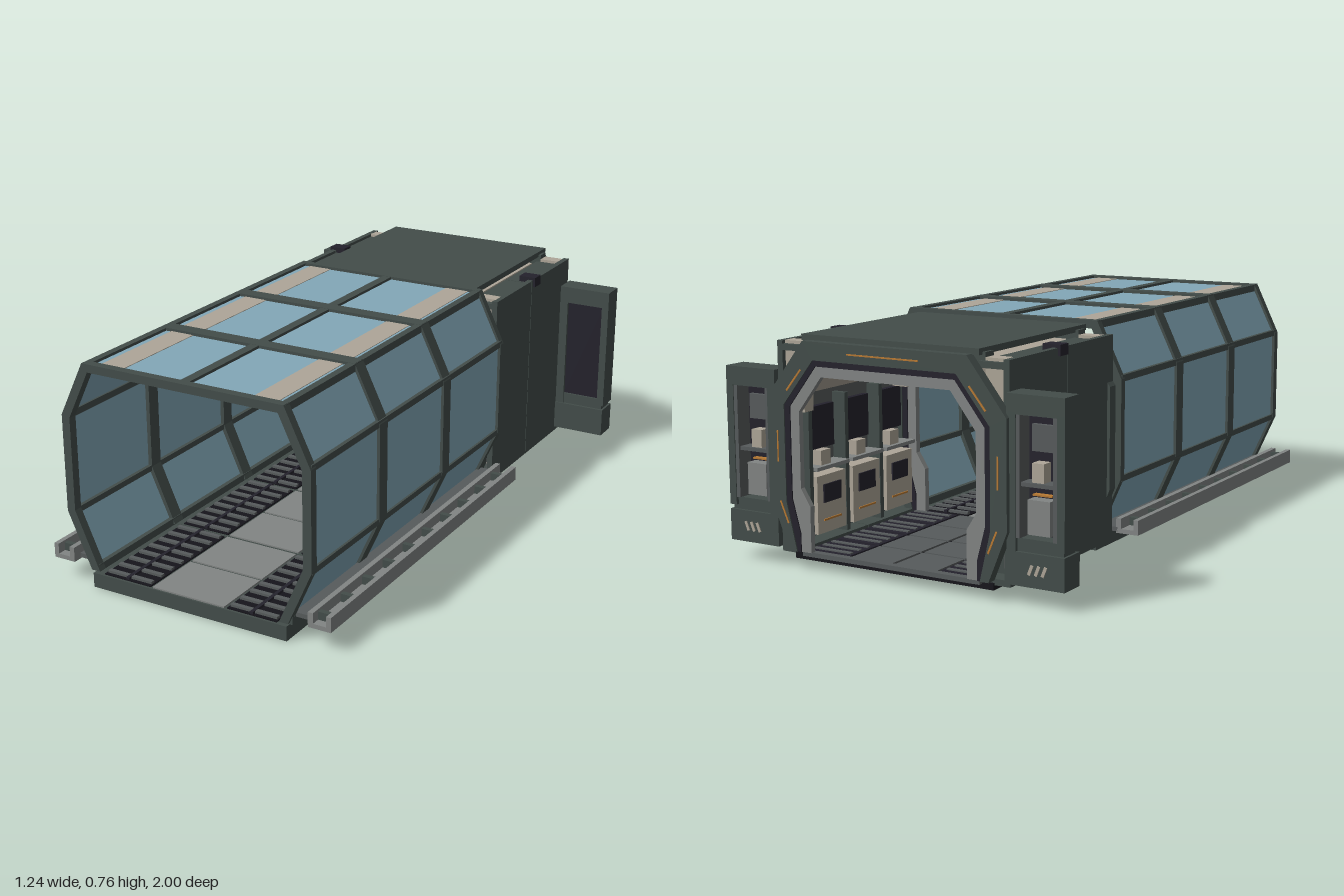
import * as THREE from 'three';

const mat = (name, color) => Object.assign(new THREE.MeshStandardMaterial({ color }), { name });

export function createModel() {
  const root = new THREE.Group();
  root.name = 'airlockTunnel';
  const M = {
    frame: mat('darkGreenMetal', 0x434d4a),
    glass: mat('blueGlass', 0x83a8b8),
    beige: mat('beigePanel', 0xaea698),
    navy: mat('darkNavy', 0x24222c),
    grey: mat('midGrey', 0x828584),
    slate: mat('slateGrey', 0x575b5c),
    black: mat('nearBlack', 0x16151b),
    orange: mat('orangeLine', 0xb87a34),
  };

  const add = (name, geo, m) => {
    const mesh = new THREE.Mesh(geo, m);
    mesh.name = name;
    root.add(mesh);
    return mesh;
  };
  // Box given by its limits
  const box = (name, m, x0, x1, y0, y1, z0, z1) =>
    add(name, new THREE.BoxGeometry(x1 - x0, y1 - y0, z1 - z0), m)
      .position.set((x0 + x1) / 2, (y0 + y1) / 2, (z0 + z1) / 2);
  // The same box on both sides of x = 0
  const pair = (name, m, x0, x1, ...r) => {
    box(name + 'Left', m, x0, x1, ...r);
    box(name + 'Right', m, -x1, -x0, ...r);
  };
  // Flat slab between two cross-section points, running along z
  const slab = (name, m, [ax, ay], [bx, by], t, z0, z1) => {
    const mesh = add(name, new THREE.BoxGeometry(Math.hypot(bx - ax, by - ay), t, z1 - z0), m);
    mesh.position.set((ax + bx) / 2, (ay + by) / 2, (z0 + z1) / 2);
    mesh.rotation.z = Math.atan2(by - ay, bx - ax);
  };
  const slabPair = (name, m, a, b, ...r) => {
    slab(name + 'Left', m, a, b, ...r);
    slab(name + 'Right', m, [-a[0], a[1]], [-b[0], b[1]], ...r);
  };
  // Arch between an outer and an inner half profile, listed bottom to top
  const arch = (name, m, outer, inner, z0, z1) => {
    const flip = (p) => p.map(([x, y]) => [-x, y]);
    const pts = [...outer, ...flip(outer).reverse(), ...flip(inner), ...[...inner].reverse()];
    const shape = new THREE.Shape(pts.map(([x, y]) => new THREE.Vector2(x, y)));
    add(name, new THREE.ExtrudeGeometry(shape, { depth: z1 - z0, bevelEnabled: false }), m).position.z = z0;
  };

  // Glass tunnel ribs
  const outer = [[0.37, 0.06], [0.455, 0.25], [0.455, 0.58], [0.365, 0.765]];
  const inner = [[0.338, 0.06], [0.425, 0.256], [0.425, 0.573], [0.345, 0.738]];
  const ribs = [[0.97, 1], [0.535, 0.585], [0.095, 0.145], [-0.32, -0.295]];
  ribs.forEach(([a, b]) => arch('tunnelRib', M.frame, outer, inner, a, b));

  // Lengthwise tunnel beams
  pair('roofBeam', M.frame, 0.343, 0.367, 0.738, 0.764, -0.31, 0.99);
  pair('shoulderBeam', M.frame, 0.426, 0.453, 0.57, 0.592, -0.31, 0.99);
  pair('waistBeam', M.frame, 0.426, 0.453, 0.24, 0.26, -0.31, 0.99);
  pair('footBeam', M.frame, 0.345, 0.38, 0.055, 0.08, -0.31, 0.99);
  box('ridgeBeam', M.frame, -0.016, 0.016, 0.738, 0.764, -0.31, 0.99);

  // Glazing and roof strips in each bay
  const g = [[0.358, 0.065], [0.442, 0.25], [0.442, 0.58], [0.357, 0.752]];
  for (let i = 0; i < 3; i++) {
    const z0 = ribs[i + 1][1], z1 = ribs[i][0];
    for (let k = 0; k < 3; k++) slabPair('sideGlass', M.glass, g[k], g[k + 1], 0.006, z0, z1);
    slabPair('roofGlass', M.glass, [0.01, 0.752], [0.35, 0.752], 0.006, z0, z1);
    pair('roofStrip', M.beige, 0.237, 0.322, 0.748, 0.757, z0, z1);
  }

  // Tunnel floor: slabs, grey walkway, ribbed gratings
  [[0.563, 1], [0.123, 0.559], [-0.32, 0.119]].forEach(([a, b]) => {
    box('baseSlab', M.frame, -0.365, 0.365, 0, 0.05, a, b);
    const half = (a + b) / 2;
    [[a, half], [half, b]].forEach(([c, d]) =>
      box('walkwayPanel', M.grey, -0.135, 0.135, 0.05, 0.055, c + 0.006, d - 0.006));
    pair('gratingBed', M.black, 0.145, 0.325, 0.05, 0.054, a + 0.008, b - 0.008);
    for (let k = 0; k < 8; k++) {
      const z = a + ((k + 0.5) * (b - a)) / 8;
      pair('gratingBar', M.slate, 0.15, 0.32, 0.054, 0.062, z - 0.008, z + 0.008);
    }
    pair('gratingSpine', M.navy, 0.228, 0.24, 0.054, 0.063, a + 0.008, b - 0.008);
  });

  // Ladder rails beside the tunnel
  pair('outerRail', M.grey, 0.503, 0.52, 0.07, 0.12, -0.32, 1);
  pair('innerRail', M.grey, 0.44, 0.458, 0.07, 0.12, -0.32, 1);
  pair('railBed', M.grey, 0.455, 0.506, 0.07, 0.085, -0.32, 1);
  pair('railBracket', M.slate, 0.375, 0.445, 0.075, 0.09, -0.32, 0.97);
  for (let k = 0; k < 10; k++) {
    const z = -0.25 + k * 0.1345;
    pair('railRung', M.frame, 0.456, 0.505, 0.085, 0.112, z - 0.009, z + 0.009);
  }

  // Cabin shell
  box('cabinRoof', M.frame, -0.325, 0.325, 0.732, 0.752, -0.97, -0.32);
  box('cabinBase', M.black, -0.37, 0.37, 0.03, 0.052, -0.97, -0.32);
  [[-0.618, -0.322], [-0.965, -0.622]].forEach(([a, b]) => {
    pair('cabinWall', M.frame, 0.405, 0.425, 0.045, 0.725, a, b);
    pair('cabinShoulder', M.frame, 0.32, 0.406, 0.695, 0.715, a, b);
    pair('sill', M.frame, 0.34, 0.406, 0.045, 0.065, a, b);
  });
  pair('wallClamp', M.navy, 0.37, 0.433, 0.7, 0.735, -0.68, -0.63);
  [[-0.39, -0.345], [-0.95, -0.905]].forEach(([a, b]) => {
    pair('cornerBlock', M.beige, 0.335, 0.408, 0.5, 0.725, a, b);
    pair('roofSupport', M.frame, 0.29, 0.335, 0.7, 0.74, a, b);
  });

  // Cabin ceiling, lining and floor panels
  box('ceiling', M.beige, -0.3, 0.3, 0.695, 0.705, -0.95, -0.34);
  slabPair('shoulderLining', M.beige, [0.402, 0.54], [0.29, 0.7], 0.008, -0.95, -0.34);
  for (let k = 0; k < 4; k++) {
    const z0 = -0.955 + k * 0.158, z1 = z0 + 0.148;
    pair('ceilingVent', M.navy, 0.06, 0.24, 0.69, 0.696, z0 + 0.02, z1 - 0.02);
    pair('floorPlate', M.slate, 0.006, 0.16, 0.052, 0.058, z0, z1);
    pair('floorGrate', M.navy, 0.17, 0.335, 0.052, 0.058, z0, z1);
    for (let j = 0; j < 3; j++)
      pair('floorGrateBar', M.slate, 0.18, 0.325, 0.058, 0.062, z0 + 0.02 + j * 0.045, z0 + 0.035 + j * 0.045);
  }

  // Wall consoles: cabinets, shelves and equipment
  pair('wallBacking', M.slate, 0.395, 0.405, 0.07, 0.69, -0.95, -0.34);
  [-0.89, -0.7, -0.51].forEach((z) => {
    pair('cabinet', M.beige, 0.34, 0.396, 0.09, 0.28, z, z + 0.15);
    pair('cabinetVent', M.navy, 0.335, 0.341, 0.19, 0.25, z + 0.03, z + 0.12);
    pair('cabinetStripe', M.orange, 0.336, 0.341, 0.13, 0.136, z + 0.03, z + 0.12);
    pair('shelf', M.grey, 0.33, 0.396, 0.3, 0.312, z - 0.01, z + 0.16);
    pair('screen', M.navy, 0.375, 0.396, 0.36, 0.5, z + 0.01, z + 0.14);
    pair('equipment', M.beige, 0.345, 0.385, 0.312, 0.36, z + 0.03, z + 0.08);
    pair('divider', M.frame, 0.345, 0.398, 0.07, 0.53, z - 0.03, z - 0.012);
  });

  // Portals at both cabin ends, nested from outer to inner ring
  const p0 = [[0.37, 0.06], [0.435, 0.22], [0.435, 0.56], [0.3, 0.735]];
  const p1 = [[0.34, 0.06], [0.378, 0.22], [0.378, 0.53], [0.262, 0.677]];
  const p2 = [[0.328, 0.06], [0.328, 0.12], [0.358, 0.23], [0.358, 0.525], [0.255, 0.658]];
  const p3 = [[0.29, 0.06], [0.29, 0.21], [0.325, 0.265], [0.325, 0.51], [0.237, 0.625]];
  [[-1, -0.965, -1], [-0.36, -0.322, 1]].forEach(([a, b, s]) => {
    arch('portalFrame', M.frame, p0, p1, a, b);
    arch('portalSeal', M.navy, p1, p2, a + 0.004, b - 0.004);
    arch('portalLining', M.grey, p2, p3, a + 0.008, b - 0.008);
    // Orange marker lines
    const [z0, z1] = s > 0 ? [b - 0.001, b + 0.002] : [a, a + 0.003].map((z) => z - 0.002);
    box('topMarker', M.orange, -0.13, 0.13, 0.702, 0.707, z0, z1);
    pair('sideMarker', M.orange, 0.402, 0.407, 0.345, 0.445, z0, z1);
    slabPair('upperMarker', M.orange, [0.365, 0.575], [0.308, 0.645], 0.006, z0, z1);
    slabPair('lowerMarker', M.orange, [0.4, 0.22], [0.37, 0.15], 0.006, z0, z1);
  });
  box('threshold', M.slate, -0.33, 0.33, 0.045, 0.06, -0.985, -0.96);

  // Side lockers: frame round a niche, with a heavier foot
  pair('lockerHead', M.frame, 0.425, 0.62, 0.572, 0.633, -0.985, -0.9);
  pair('lockerOuterPost', M.frame, 0.594, 0.62, 0.18, 0.58, -0.985, -0.9);
  pair('lockerInnerPost', M.frame, 0.425, 0.456, 0.16, 0.58, -0.985, -0.9);
  pair('lockerFoot', M.frame, 0.425, 0.62, 0.062, 0.165, -0.985, -0.895);
  pair('lockerStep', M.frame, 0.45, 0.612, 0.165, 0.205, -0.975, -0.905);
  pair('lockerBack', M.navy, 0.452, 0.598, 0.2, 0.576, -0.925, -0.912);
  pair('nicheTrimOuter', M.slate, 0.58, 0.594, 0.205, 0.572, -0.982, -0.925);
  pair('nicheTrimInner', M.slate, 0.456, 0.468, 0.205, 0.572, -0.982, -0.925);
  pair('nicheShelf', M.slate, 0.466, 0.582, 0.36, 0.372, -0.975, -0.925);
  pair('nicheUnit', M.grey, 0.485, 0.56, 0.215, 0.32, -0.965, -0.925);
  pair('nicheCanister', M.beige, 0.5, 0.54, 0.372, 0.43, -0.965, -0.925);
  pair('nicheScreen', M.slate, 0.485, 0.565, 0.46, 0.54, -0.94, -0.925);
  pair('nicheMarker', M.orange, 0.49, 0.555, 0.328, 0.333, -0.945, -0.925);
  // Slanted vents on the locker feet
  [0.5, 0.523, 0.546].forEach((x) =>
    slabPair('footVent', M.beige, [x, 0.1], [x + 0.012, 0.13], 0.01, -0.988, -0.984));

  return root;
}
